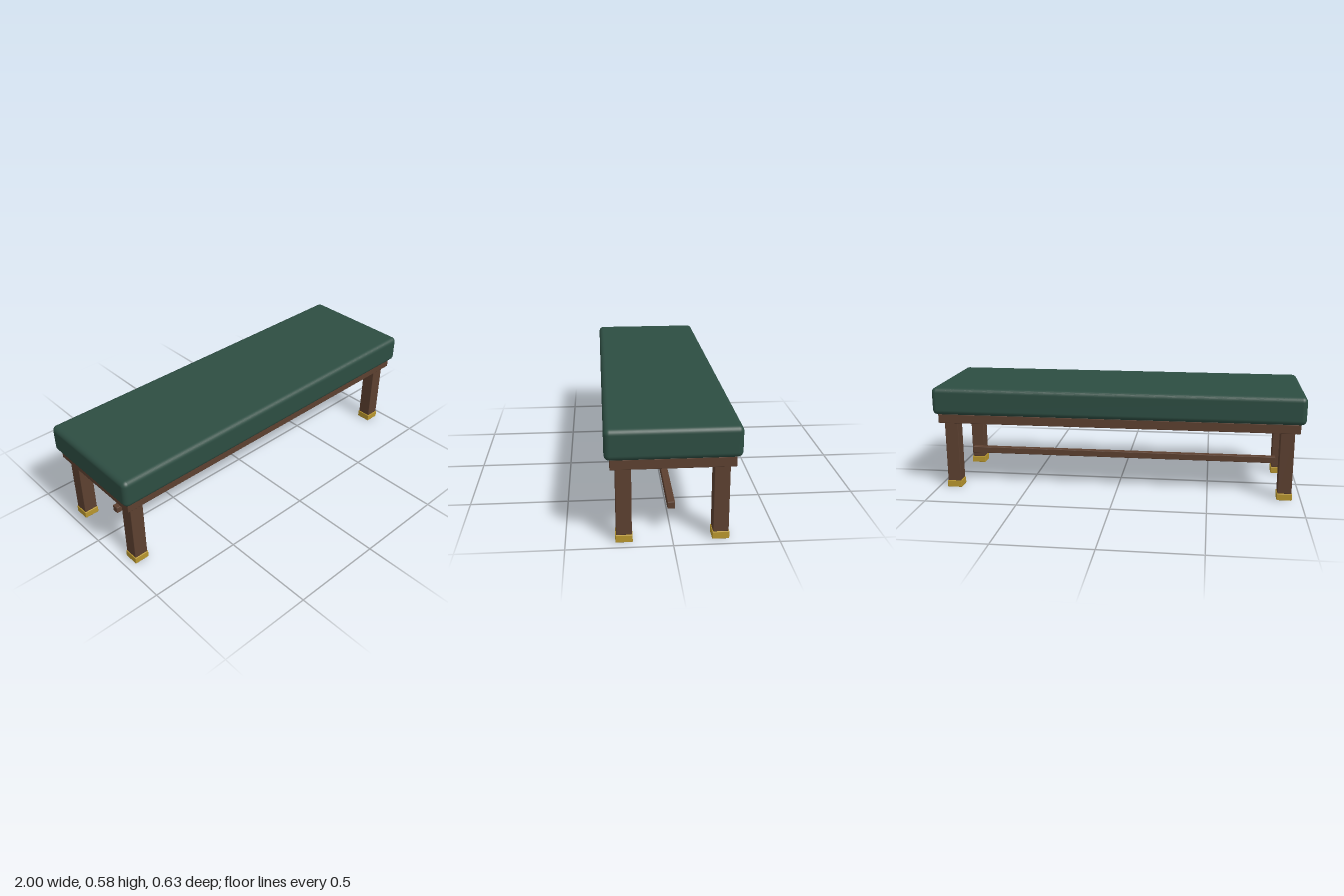
import * as THREE from 'three';
import { RoundedBoxGeometry } from 'three/addons/geometries/RoundedBoxGeometry.js';

export function createModel() {
  const bench = new THREE.Group();
  bench.name = 'bench';

  const fabric = new THREE.MeshStandardMaterial({ color: 0x2d4d42 });
  const wood = new THREE.MeshStandardMaterial({ color: 0x5c4030 });
  const brass = new THREE.MeshStandardMaterial({ color: 0xb8962e });

  // Rounded block standing on height y
  function block(name, material, [w, h, d], [x, y, z], radius = 0.003, segments = 1) {
    const mesh = new THREE.Mesh(new RoundedBoxGeometry(w, h, d, segments, radius), material);
    mesh.name = name;
    mesh.position.set(x, y + h / 2, z);
    bench.add(mesh);
  }

  // Padded seat on its wooden frame
  block('cushion', fabric, [2, 0.15, 0.626], [0, 0.427, 0], 0.027, 4);
  block('seatFrame', wood, [1.95, 0.05, 0.576], [0, 0.377, 0]);

  // Stretcher bar running lengthwise under the seat
  block('stretcher', wood, [1.754, 0.036, 0.036], [0, 0.127, 0]);

  // Four square legs with brass caps
  for (const [sx, side] of [[1, 'Left'], [-1, 'Right']]) {
    for (const [sz, end] of [[1, 'front'], [-1, 'back']]) {
      const x = sx * 0.912, z = sz * 0.227;
      block(`${end}${side}Leg`, wood, [0.074, 0.34, 0.074], [x, 0.037, z]);
      block(`${end}${side}FootCap`, brass, [0.081, 0.037, 0.081], [x, 0, z]);
    }
  }

  return bench;
}
